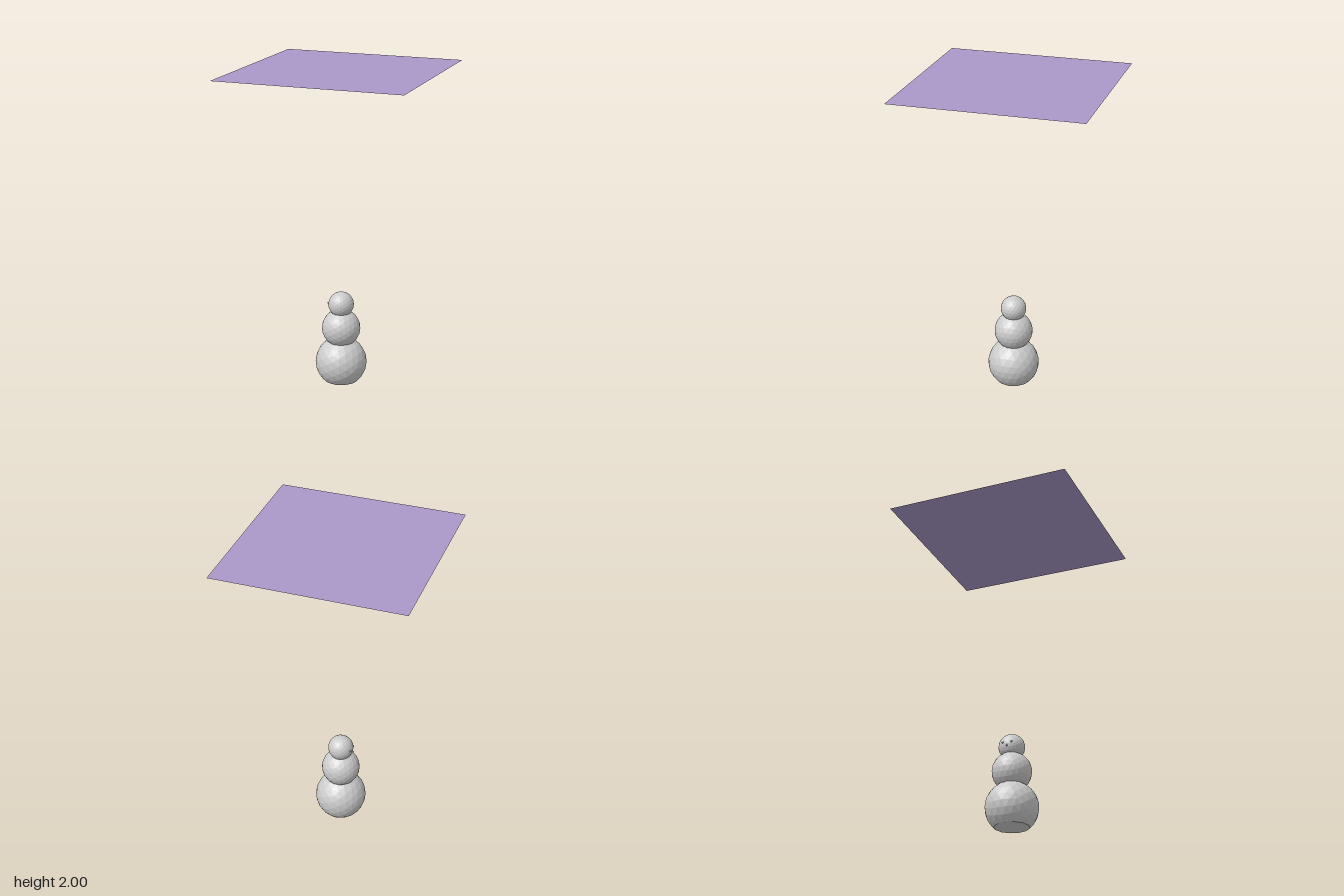
import * as THREE from 'three';

const grey = new THREE.MeshStandardMaterial({ color: 0xcccccc, flatShading: true });
const purple = new THREE.MeshStandardMaterial({ color: 0xaa98c8, side: THREE.DoubleSide });

function ball(name, radius, detail, x, y, z) {
  const mesh = new THREE.Mesh(new THREE.IcosahedronGeometry(radius, detail), grey);
  mesh.name = name;
  mesh.position.set(x, y, z);
  return mesh;
}

// Flatten everything below the given height, snapping the outer points to a clean round rim
function flattenBase(geometry, radius, cutY) {
  const rim = Math.sqrt(radius * radius - cutY * cutY);
  const p = geometry.attributes.position;
  for (let i = 0; i < p.count; i++) {
    if (p.getY(i) >= cutY) continue;
    const rho = Math.hypot(p.getX(i), p.getZ(i));
    const k = rho > rim * 0.6 ? rim / rho : 1;
    p.setXYZ(i, p.getX(i) * k, cutY, p.getZ(i) * k);
  }
  geometry.computeVertexNormals();
}

export function createModel() {
  const model = new THREE.Group();
  model.name = 'snowmanUnderCanopy';

  // Three stacked snowballs, the lowest one sitting on a flat base
  const snowman = new THREE.Group();
  snowman.name = 'snowman';
  const lower = ball('lowerBody', 0.163, 3, 0, 0.122, 0);
  flattenBase(lower.geometry, 0.163, -0.122);
  snowman.add(lower);
  snowman.add(ball('upperBody', 0.122, 3, 0, 0.35, 0));
  snowman.add(ball('head', 0.081, 3, 0, 0.508, 0));

  // Face, looking towards -x
  for (const side of [-1, 1]) {
    snowman.add(ball(side > 0 ? 'leftEye' : 'rightEye', 0.007, 1, -0.074, 0.517, side * 0.028));
  }
  const nose = new THREE.Mesh(new THREE.ConeGeometry(0.01, 0.02, 8), grey);
  nose.name = 'nose';
  nose.position.set(-0.081, 0.493, 0);
  nose.rotation.z = Math.PI / 2 + 0.15;
  snowman.add(nose);
  model.add(snowman);

  // Thin square panel high overhead
  const panel = new THREE.Mesh(new THREE.PlaneGeometry(1.174, 1.174), purple);
  panel.name = 'overheadPanel';
  panel.rotation.x = -Math.PI / 2;
  panel.position.y = 2;
  model.add(panel);

  return model;
}
